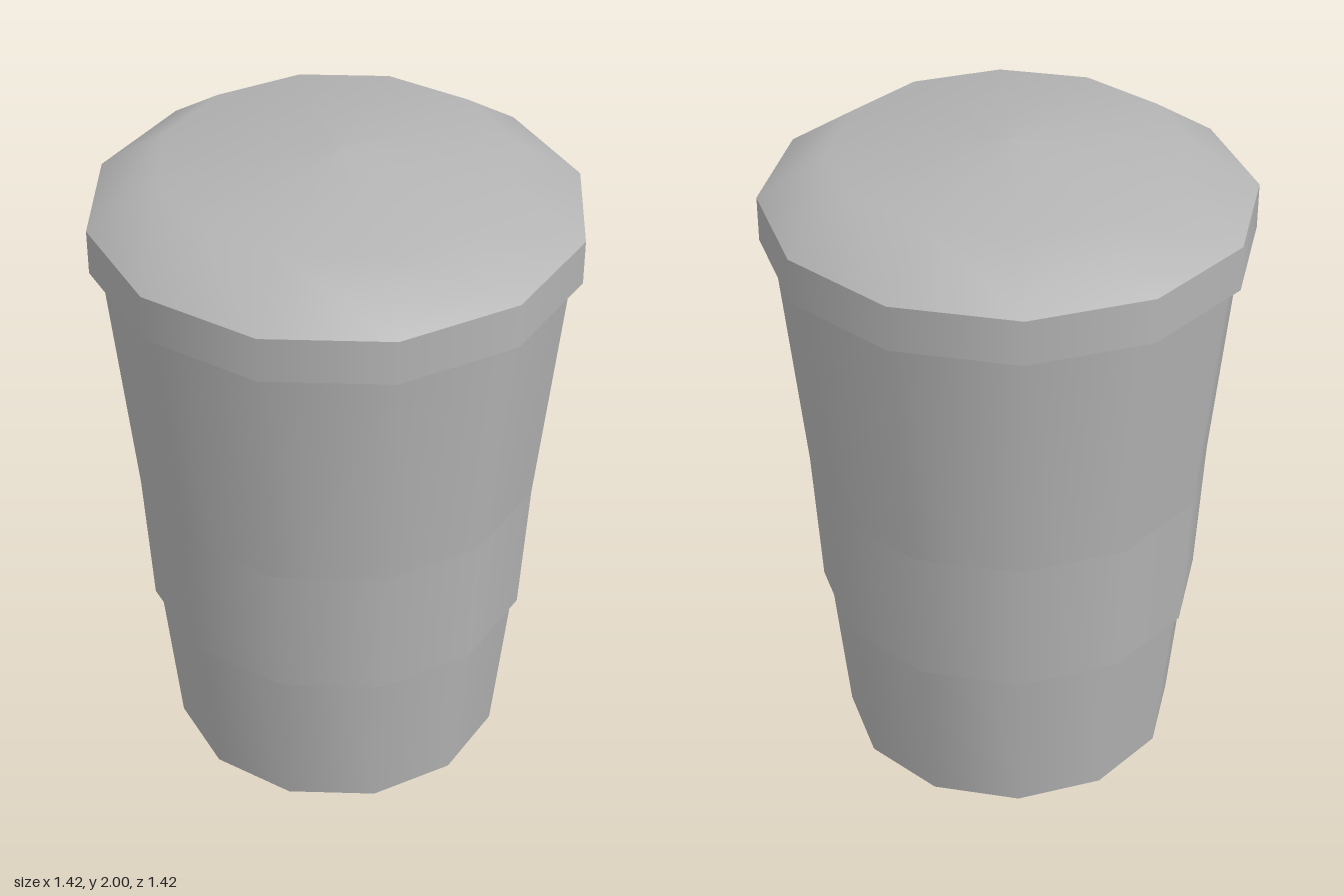
import * as THREE from 'three';

const SIDES = 12;

export function createModel() {
  const model = new THREE.Group();
  const grey = new THREE.MeshStandardMaterial({ color: 0xb4b4b4 });
  grey.name = 'plain grey';

  // Each band is its own lathe, so it is smooth inside and sharp at its ends.
  // Profiles run bottom to top on the outside: [radius, height].
  const addPart = (name, bands) => {
    const part = new THREE.Group();
    part.name = name;
    for (const [bandName, profile] of Object.entries(bands)) {
      const points = profile.map(([r, y]) => new THREE.Vector2(r, y));
      const mesh = new THREE.Mesh(new THREE.LatheGeometry(points, SIDES), grey);
      mesh.name = bandName;
      part.add(mesh);
    }
    model.add(part);
  };

  // Tapered cup body with a closed base
  addPart('cup', {
    cupBase: [[0, 0], [0.51, 0]],
    cupWall: [[0.51, 0], [0.678, 1.71]],
  });

  // Sleeve that blends into the wall halfway up
  addPart('sleeve', {
    sleeveUnderside: [[0.555, 0.51], [0.578, 0.51]],
    sleeveWall: [[0.578, 0.51], [0.603, 0.95]],
  });

  // Overhanging lid: underside, vertical rim and shallow dome
  addPart('lid', {
    lidUnderside: [[0.66, 1.7], [0.711, 1.7]],
    lidRim: [[0.711, 1.7], [0.711, 1.835]],
    lidDome: [[0.711, 1.835], [0.51, 1.97], [0, 2]],
  });

  return model;
}
